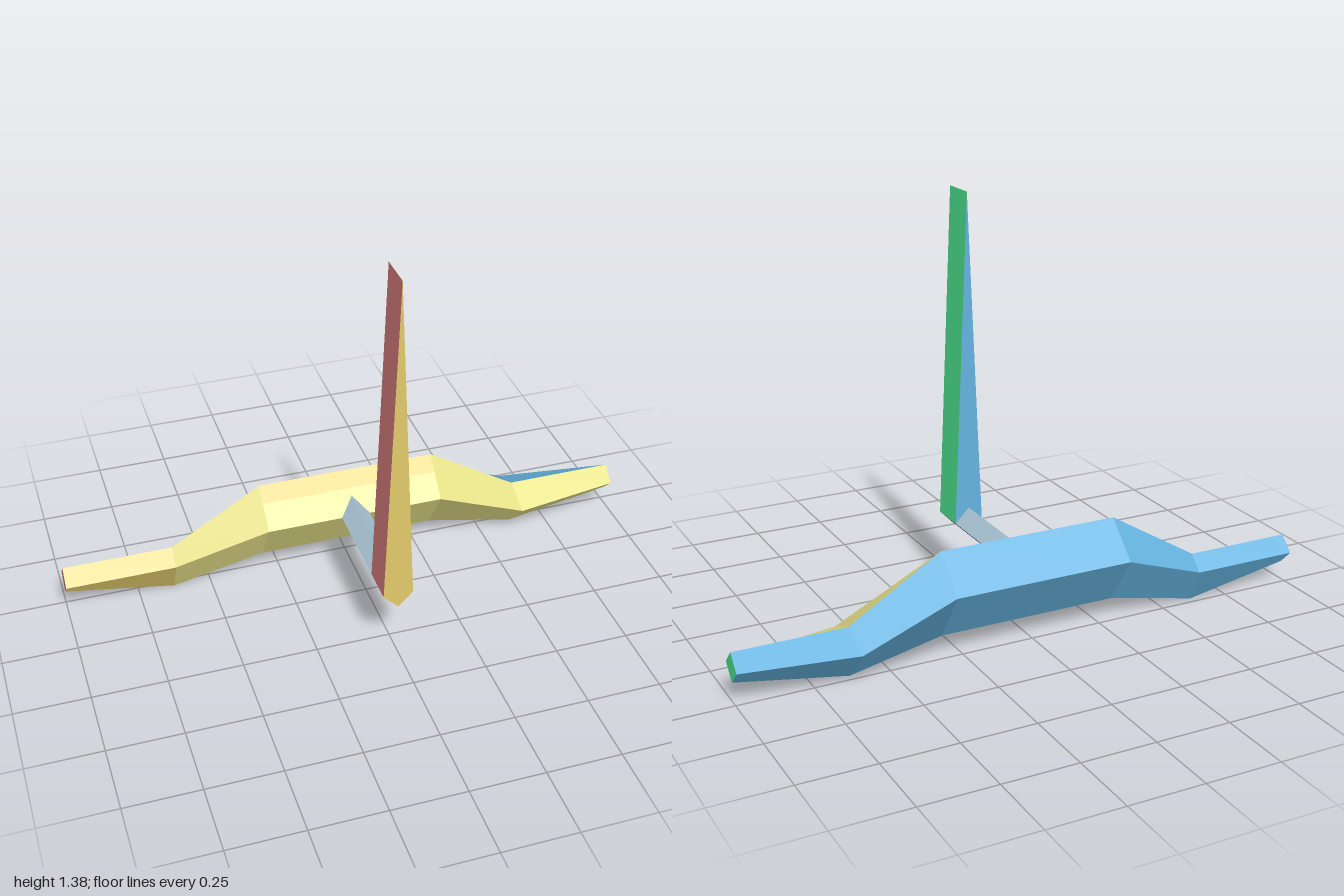
import * as THREE from 'three';

const mat = (name, color) => {
  const m = new THREE.MeshStandardMaterial({ color });
  m.name = name;
  return m;
};

// Quads with one flat normal each: four corners, counter-clockwise from outside.
function quadMesh(name, material, quads) {
  const pos = [], normals = [];
  for (const quad of quads) {
    const [a, b, c, d] = quad.map((p) => new THREE.Vector3(...p));
    const n = c.clone().sub(a).cross(d.clone().sub(b)).normalize();
    for (const p of [a, b, c, a, c, d]) {
      pos.push(p.x, p.y, p.z);
      normals.push(n.x, n.y, n.z);
    }
  }
  const g = new THREE.BufferGeometry();
  g.setAttribute('position', new THREE.Float32BufferAttribute(pos, 3));
  g.setAttribute('normal', new THREE.Float32BufferAttribute(normals, 3));
  const mesh = new THREE.Mesh(g, material);
  mesh.name = name;
  return mesh;
}

// Side quad k between two matching four-point rings.
const side = (r0, r1, k) => {
  const n = (k + 1) % 4;
  return [r0[k], r0[n], r1[n], r1[k]];
};

export function createModel() {
  const model = new THREE.Group();
  model.name = 'model';
  const gold = mat('gold', 0xe2c96c);
  const lime = mat('pale yellow', 0xe6e188);
  const blue = mat('sky blue', 0x64b2de);
  const green = mat('green', 0x4ee890);
  const red = mat('dusty red', 0xd67c7c);
  const pale = mat('pale grey blue', 0xaac5d3);
  const dark = mat('dark slate', 0x4a4e63);

  // Crossbar sections along x: [x, top, middle, bottom, half depth]
  const sections = [
    [-1, 0.165, 0.115, 0.065, 0.05],
    [-0.625, 0.165, 0.115, 0, 0.05],
    [-0.31, 0.355, 0.24, 0.067, 0.115],
    [0.31, 0.355, 0.24, 0.067, 0.115],
    [0.625, 0.165, 0.118, 0, 0.115],
    [1, 0.165, 0.115, 0.065, 0.05],
  ];
  const zc = -0.225;
  // Ring order: top, front, bottom, back
  const rings = sections.map(([x, t, m, b, d]) => [
    [x, t, zc], [x, m, zc + d], [x, b, zc], [x, m, zc - d],
  ]);
  const faces = { gold: [], lime: [], blue: [] };
  for (let i = 0; i < rings.length - 1; i++) {
    for (let k = 0; k < 4; k++) {
      const quad = side(rings[i], rings[i + 1], k);
      if (i === 2 && k === 0) {
        // Gold strip along the upper part of the middle front face
        const [a, b, c, d] = quad;
        const down = (p, q) => p.map((v, j) => v + (q[j] - v) * 0.4);
        const e = down(a, b), f = down(d, c);
        faces.gold.push([a, e, f, d]);
        faces.lime.push([e, b, c, f]);
      } else {
        faces[k > 1 ? 'blue' : i === 0 ? 'gold' : 'lime'].push(quad);
      }
    }
  }
  const bar = new THREE.Group();
  bar.name = 'crossbar';
  bar.add(
    quadMesh('goldFront', gold, faces.gold),
    quadMesh('paleFront', lime, faces.lime),
    quadMesh('blueBack', blue, faces.blue),
    quadMesh('leftEnd', green, [rings[5]]),
    quadMesh('rightEnd', red, [[...rings[0]].reverse()]),
  );
  model.add(bar);

  // Diamond ring in the xy plane: top, right, bottom, left
  const diamond = (z, top) => [[0, top, z], [-0.05, 0.24, z], [0, 0.19, z], [0.05, 0.24, z]];

  // Boom joining crossbar and mast
  const b0 = diamond(-0.21, 0.29), b1 = diamond(0.215, 0.29);
  const boom = new THREE.Group();
  boom.name = 'boom';
  boom.add(
    quadMesh('boomTop', pale, [side(b0, b1, 0), side(b0, b1, 3)]),
    quadMesh('boomUnderside', dark, [side(b0, b1, 1), side(b0, b1, 2)]),
  );
  model.add(boom);

  // Tall tapering mast
  const m0 = diamond(0.215, 1.38), m1 = diamond(0.34, 1.38);
  const mast = new THREE.Group();
  mast.name = 'mast';
  mast.add(
    quadMesh('mastFront', gold, [m1]),
    quadMesh('mastBack', blue, [[...m0].reverse()]),
    quadMesh('mastRightSide', red, [side(m0, m1, 0)]),
    quadMesh('mastLeftSide', green, [side(m0, m1, 3)]),
    quadMesh('mastUnderside', dark, [side(m0, m1, 1), side(m0, m1, 2)]),
  );
  model.add(mast);
  return model;
}
